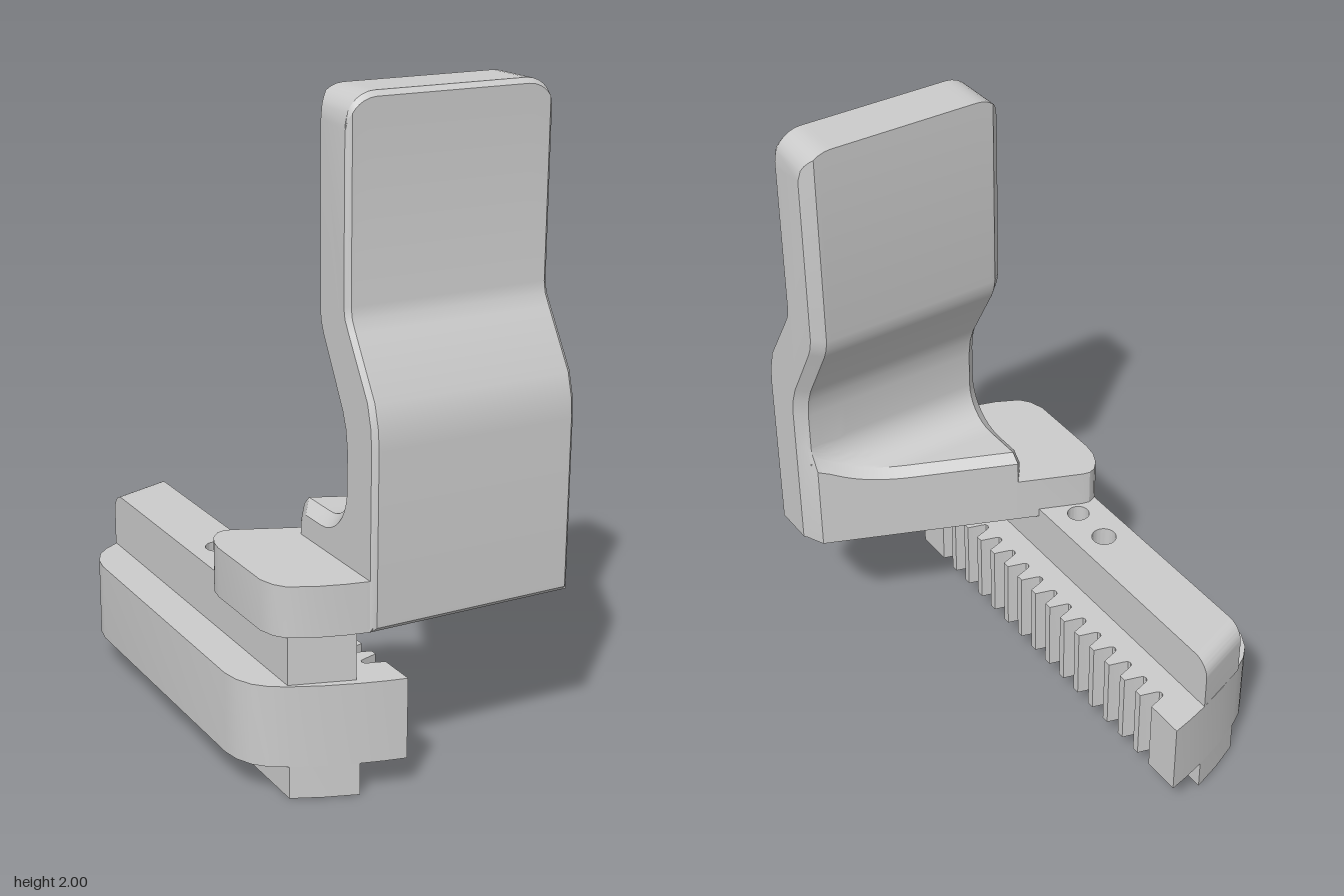
import * as THREE from 'three';
import { toCreasedNormals } from 'three/addons/utils/BufferGeometryUtils.js';

const material = new THREE.MeshStandardMaterial({ color: 0xcccccc });
const toShape = (pts) => new THREE.Shape(pts.map(([a, b]) => new THREE.Vector2(a, b)));

function addPart(group, name, geometry) {
  const mesh = new THREE.Mesh(toCreasedNormals(geometry, 0.5), material);
  mesh.name = name;
  group.add(mesh);
}

// Plan outline in (x, z), extruded from y0 up to y1
function planExtrude(shape, y0, y1) {
  return new THREE.ExtrudeGeometry(shape, { depth: y1 - y0, bevelEnabled: false, curveSegments: 24 })
    .rotateX(Math.PI / 2).translate(0, y1, 0);
}

// Curved end of the rack, one quarter of its outline
const rackEnd = [[-0.065, 0.73], [-0.13, 0.715], [-0.2, 0.695], [-0.3, 0.66], [-0.39, 0.62],
  [-0.44, 0.59], [-0.475, 0.555], [-0.5, 0.505], [-0.51, 0.45]];

function rackShape() {
  const back = rackEnd.map(([x, z]) => [x, -z]).reverse();
  const pts = [...rackEnd, ...back];
  // Tooth gaps along the straight side, with rounded roots
  for (let i = -7; i <= 7; i++) {
    const z = i * 0.082;
    pts.push([-0.065, z - 0.029], [-0.115, z - 0.014], [-0.125, z - 0.009], [-0.128, z],
      [-0.125, z + 0.009], [-0.115, z + 0.014], [-0.065, z + 0.029]);
  }
  return toShape(pts);
}

// Top of the rail: flat length with two holes, then a rounded back end
function railShape() {
  const shape = toShape([[-0.39, -0.55], [-0.2, -0.62], [-0.2, 0.67], [-0.39, 0.61]]);
  for (const [z, r] of [[-0.03, 0.04], [0.115, 0.036]]) {
    shape.holes.push(new THREE.Path().absarc(-0.295, z, r, 0, Math.PI * 2, true));
  }
  return shape;
}

function railEndGeometry() {
  const shape = new THREE.Shape();
  shape.moveTo(-0.62, 0.35).lineTo(-0.62, 0.53).lineTo(-0.635, 0.53);
  shape.absarc(-0.635, 0.47, 0.06, Math.PI / 2, Math.PI, false);
  shape.lineTo(-0.695, 0.35);
  const geo = new THREE.ExtrudeGeometry(shape, { depth: 0.19, bevelEnabled: false, curveSegments: 8 })
    .rotateY(-Math.PI / 2).translate(-0.2, 0, 0);
  const p = geo.attributes.position;
  // Slant the end to follow the rack outline
  for (let i = 0; i < p.count; i++) if (p.getX(i) < -0.3) p.setZ(i, p.getZ(i) + 0.07);
  return geo;
}

// Cross-section of the cranked panel and its gusset at one x, as (z, y) points
function panelSection(x) {
  const x0 = -0.17, x1 = 0.5, r = 0.09, c = 0.03;
  const edge = Math.min(x - x0, x1 - x);
  const f = Math.max(0, 0.015 - edge);   // front edge chamfer
  const d = Math.max(0, 0.035 - edge);   // back edge chamfer
  const k = Math.max(0, r - edge);       // rounded top corners
  const top = 2 - r + Math.sqrt(Math.max(0, r * r - k * k));
  const wall = 0.52 + d;
  // Slanted back of the gusset and the shelf that sweeps up into the panel
  const zl = Math.min(wall, 0.15 + (x + 0.335) * 0.42 + 1.7 * d);
  const za = Math.min(wall, zl + c);
  const shelf = (z) => {
    const R = 0.12 + d, u = Math.max(0, z - 0.4);
    return 0.88 - Math.sqrt(Math.max(0, R * R - u * u));
  };
  const pts = [[0.69, 0.5]];
  for (const [z, y] of [[0.705, 0.515], [0.705, 1.04], [0.7, 1.1], [0.68, 1.17],
    [0.573, 1.34], [0.552, 1.375], [0.545, 1.41]]) pts.push([z - f, y]);
  pts.push([0.545 - f, top - 0.015], [0.53, top], [0.36 + d, top]);
  for (const [z, y] of [[0.36, 1.37], [0.367, 1.335], [0.38, 1.305], [0.492, 1.11],
    [0.511, 1.06], [0.52, 1.0]]) pts.push([z + d, y]);
  const n = 12;
  for (let i = 0; i <= n; i++) {
    const t = Math.cos((i / n) * Math.PI / 2); // denser near the wall
    const z = za + (wall - za) * t;
    pts.push([z, shelf(z)]);
  }
  pts.push([zl, Math.min(shelf(za) - c, shelf(zl))], [zl, 0.5]);
  return pts;
}

function panelGeometry() {
  const inset = [0, 0.007, 0.015, 0.025, 0.035, 0.05, 0.07, 0.09];
  const xs = inset.map((v) => -0.17 + v);
  for (let i = 1; i < 20; i++) xs.push(-0.08 + (0.49 * i) / 20);
  xs.push(...inset.map((v) => 0.5 - v).reverse());
  const rings = xs.map(panelSection);
  const n = rings[0].length, pos = [], idx = [];
  rings.forEach((ring, i) => ring.forEach(([z, y]) => pos.push(xs[i], y, z)));
  for (let i = 0; i < xs.length - 1; i++) {
    for (let j = 0; j < n; j++) {
      const a = i * n + j, d = i * n + (j + 1) % n, b = a + n, c = d + n;
      idx.push(a, b, c, a, c, d);
    }
  }
  // End caps
  for (const [i, side] of [[0, 1], [xs.length - 1, -1]]) {
    const pts = rings[i].map(([z, y]) => new THREE.Vector2(z, y));
    for (const [a, b, c] of THREE.ShapeUtils.triangulateShape(pts, [])) {
      const up = THREE.ShapeUtils.area([pts[a], pts[b], pts[c]]) * side > 0;
      idx.push(i * n + a, i * n + (up ? b : c), i * n + (up ? c : b));
    }
  }
  const geo = new THREE.BufferGeometry();
  geo.setAttribute('position', new THREE.Float32BufferAttribute(pos, 3));
  geo.setIndex(idx);
  return geo;
}

export function createModel() {
  const group = new THREE.Group();
  group.name = 'rackClamp';

  addPart(group, 'toothedRack', planExtrude(rackShape(), 0.1, 0.352));

  const keel = toShape([[-0.39, -0.62], [-0.3, -0.66], [-0.2, -0.695],
    [-0.2, 0.695], [-0.3, 0.66], [-0.39, 0.62]]);
  addPart(group, 'lowerKeel', planExtrude(keel, 0, 0.1));
  addPart(group, 'upperRail', planExtrude(railShape(), 0.35, 0.53));
  addPart(group, 'railRoundedEnd', railEndGeometry());

  // Foot plate that carries the panel on the rail
  const foot = toShape([[-0.13, 0.236], [-0.13, 0.66], [-0.17, 0.69], [-0.24, 0.675], [-0.32, 0.65],
    [-0.395, 0.613], [-0.42, 0.58], [-0.435, 0.53], [-0.435, 0.265], [-0.428, 0.22], [-0.41, 0.18],
    [-0.385, 0.153], [-0.36, 0.144], [-0.335, 0.15]]);
  addPart(group, 'footPlate', planExtrude(foot, 0.5, 0.655));

  addPart(group, 'crankedPanel', panelGeometry());
  return group;
}
